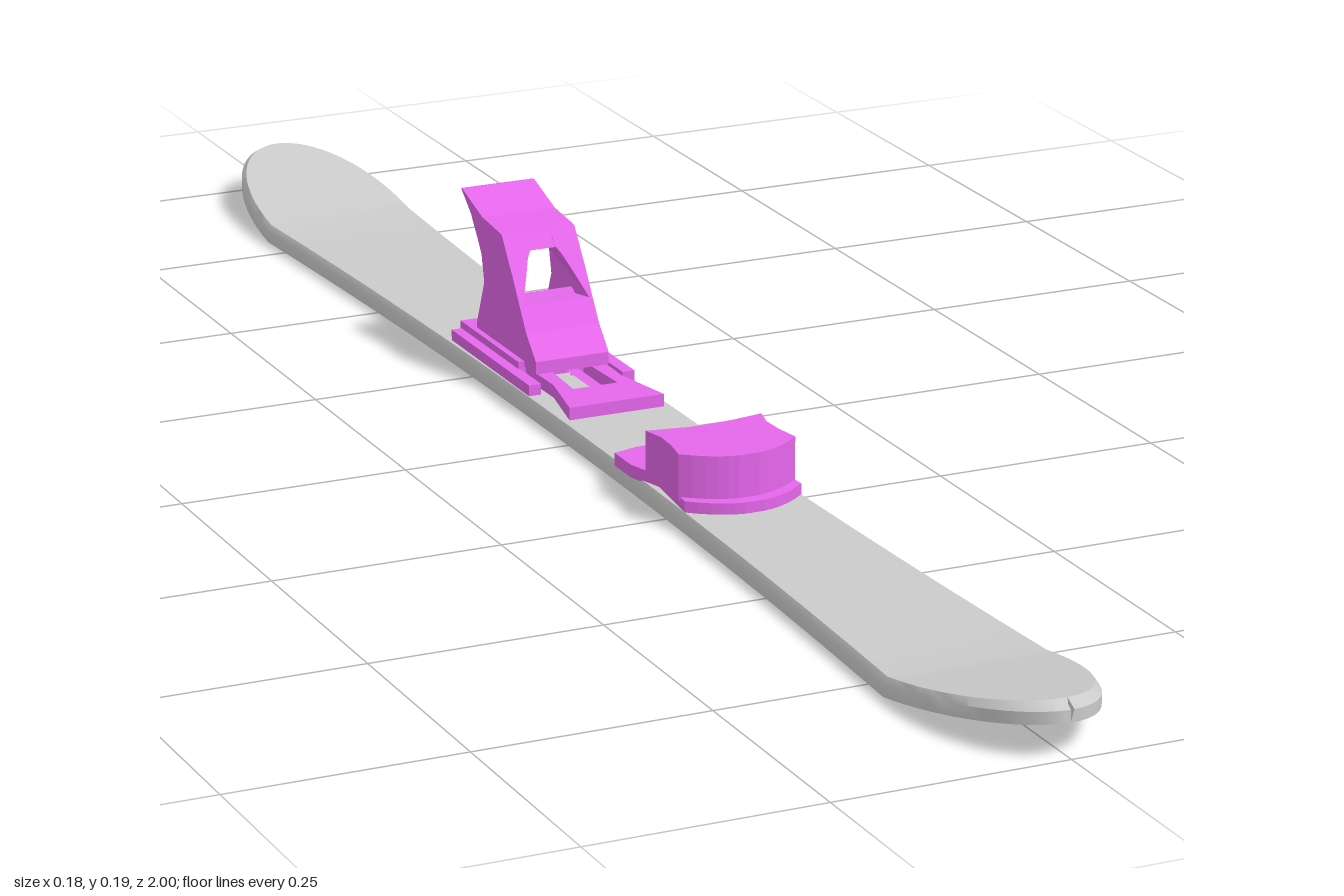
import * as THREE from 'three';
import { mergeVertices, toCreasedNormals } from 'three/addons/utils/BufferGeometryUtils.js';

const grey = new THREE.MeshStandardMaterial({ color: 0xcccccc });
const pink = new THREE.MeshStandardMaterial({ color: 0xe667ec });

// Skin a list of equal-length rings of [x, y, z] and close both ends
function loft(rings, crease = 0.5) {
  const pos = [];
  const tri = (a, b, c) => pos.push(...a, ...b, ...c);
  const n = rings[0].length;
  for (let i = 0; i < rings.length - 1; i++) {
    const r = rings[i], s = rings[i + 1];
    for (let j = 0; j < n; j++) {
      const k = (j + 1) % n;
      tri(r[j], r[k], s[k]);
      tri(r[j], s[k], s[j]);
    }
  }
  const first = rings[0], last = rings[rings.length - 1];
  for (let j = 1; j < n - 1; j++) {
    tri(first[0], first[j + 1], first[j]);
    tri(last[0], last[j], last[j + 1]);
  }
  // Turn the faces outwards if the enclosed volume is negative
  let volume = 0;
  const a = new THREE.Vector3(), b = new THREE.Vector3(), c = new THREE.Vector3();
  for (let i = 0; i < pos.length; i += 9) {
    a.fromArray(pos, i); b.fromArray(pos, i + 3); c.fromArray(pos, i + 6);
    volume += a.dot(b.cross(c));
  }
  if (volume < 0) {
    for (let i = 0; i < pos.length; i += 9) {
      for (let k = 0; k < 3; k++) [pos[i + 3 + k], pos[i + 6 + k]] = [pos[i + 6 + k], pos[i + 3 + k]];
    }
  }
  const g = new THREE.BufferGeometry();
  g.setAttribute('position', new THREE.Float32BufferAttribute(pos, 3));
  return toCreasedNormals(mergeVertices(g), crease);
}

// Flat plate from a right-hand outline of [x, z], mirrored in x, with optional holes
function plate(half, y0, y1, holes = []) {
  const pts = [...half, ...half.slice().reverse().map(([x, z]) => [-x, z])];
  const toV = ([x, z]) => new THREE.Vector2(x, -z);
  const shape = new THREE.Shape(pts.map(toV));
  holes.forEach(h => shape.holes.push(new THREE.Path(h.map(toV))));
  const g = new THREE.ExtrudeGeometry(shape, { depth: y1 - y0, bevelEnabled: false });
  return g.rotateX(-Math.PI / 2).translate(0, y0, 0);
}

function add(group, name, geometry, material = pink) {
  const m = new THREE.Mesh(geometry, material);
  m.name = name;
  group.add(m);
  return m;
}

// Board with a waist, rounded upturned ends and a softened top edge
function boardGeometry() {
  const tip = [];
  for (let i = 0; i <= 16; i++) tip.push(0.79 + 0.21 * Math.sin(i / 16 * Math.PI / 2));
  const half = [0.1, 0.2, 0.3, 0.4, 0.5, 0.6, 0.7, ...tip];
  const stations = [...half.slice().reverse().map(z => -z), 0, ...half];
  const rings = stations.map(z => {
    const a = Math.abs(z), t = Math.max(0, (a - 0.79) / 0.21);
    const w = t > 0 ? 0.09 * Math.sqrt(Math.max(0.0004, 1 - t * t)) : 0.066 + 0.024 * (a / 0.79) ** 2;
    const yb = 0.002 + 0.035 * t, yt = yb + 0.02;
    const zt = Math.sign(z) * (a - 0.014 * t * t);
    return [[-w, yb, z], [w, yb, z], [w, yt - 0.007, z],
      [w * 0.95, yt, zt], [-w * 0.95, yt, zt], [-w, yt - 0.007, z]];
  });
  return loft(rings, 0.6);
}

function toePiece() {
  const g = new THREE.Group();
  g.name = 'toePiece';
  // Sole plate: fan at the back, rounded at the front
  const front = (w, z, bulge) => Array.from({ length: 7 }, (_, i) => {
    const x = w * (1 - i / 6);
    return [x, z + bulge * (1 - (x / w) ** 2)];
  });
  add(g, 'toePlate', plate([[0.001, 0.122], [0.04, 0.122], [0.069, 0.13], [0.069, 0.17], [0.057, 0.215],
    ...front(0.066, 0.295, 0.03).slice(0, 6)], 0.02, 0.034));
  // Raised block with a curved nose and pinched sides
  add(g, 'toeBlock', plate([[0.02, 0.208], [0.066, 0.2], [0.06, 0.225], [0.061, 0.25],
    ...front(0.066, 0.28, 0.03).slice(0, 6)], 0.03, 0.08));
  return g;
}

function heelPiece() {
  const g = new THREE.Group();
  g.name = 'heelPiece';
  // Front tongue with two slots
  const slot = s => [[s * 0.007, -0.07], [s * 0.026, -0.07], [s * 0.022, -0.15], [s * 0.007, -0.15]];
  add(g, 'heelTongue', plate([[0.042, -0.2], [0.04, -0.09], [0.055, -0.015]], 0.02, 0.036, [slot(1), slot(-1)]));
  // Base under the tower with a rail along each side
  add(g, 'heelBase', plate([[0.05, -0.318], [0.05, -0.16]], 0.02, 0.042));
  for (const s of [-1, 1]) {
    const rail = add(g, s > 0 ? 'leftRail' : 'rightRail', new THREE.BoxGeometry(0.014, 0.014, 0.21));
    rail.position.set(s * 0.055, 0.027, -0.21);
  }

  // Tower: solid foot and head joined by two cheeks around an arched opening
  const X = 0.043;
  const slab = ([y, zf, zb]) => [[-X, y, zf], [X, y, zf], [X, y, zb], [-X, y, zb]];
  add(g, 'towerFoot', loft([[0.036, -0.13, -0.29], [0.05, -0.13, -0.288],
    [0.075, -0.155, -0.278], [0.1, -0.172, -0.215]].map(slab), 0.1));
  add(g, 'towerHead', loft([[0.15, -0.207, -0.235], [0.168, -0.22, -0.303],
    [0.173, -0.272, -0.309], [0.19, -0.326, -0.33]].map(slab), 0.1));
  // Levels: y, front z, back z, opening half-width at the front, in the middle, at the back
  const levels = [
    [0.075, -0.155, -0.278, 0.04, 0.032, 0.037],
    [0.1, -0.172, -0.268, 0.039, 0.031, 0.037],
    [0.13, -0.192, -0.275, 0.026, 0.023, 0.037],
    [0.143, -0.202, -0.284, 0.02, 0.015, 0.037],
    [0.152, -0.208, -0.291, 0.014, 0.008, 0.037],
    [0.168, -0.22, -0.303, 0.014, 0.008, 0.037],
  ];
  for (const s of [-1, 1]) {
    const rings = levels.map(([y, zf, zb, f, m, b]) => [[s * X, y, zf], [s * f, y, zf],
      [s * m, y, zf - 0.02], [s * b, y, zf - 0.035], [s * b, y, zb], [s * X, y, zb]]);
    add(g, s > 0 ? 'leftCheek' : 'rightCheek', loft(rings, 0.1));
  }
  return g;
}

export function createModel() {
  const model = new THREE.Group();
  model.name = 'ski';
  add(model, 'board', boardGeometry(), grey);
  // Thin running strip under the middle of the board
  const strip = add(model, 'soleStrip', new THREE.BoxGeometry(0.045, 0.004, 0.66), grey);
  strip.position.set(0, 0.002, 0.02);
  model.add(toePiece(), heelPiece());
  return model;
}
